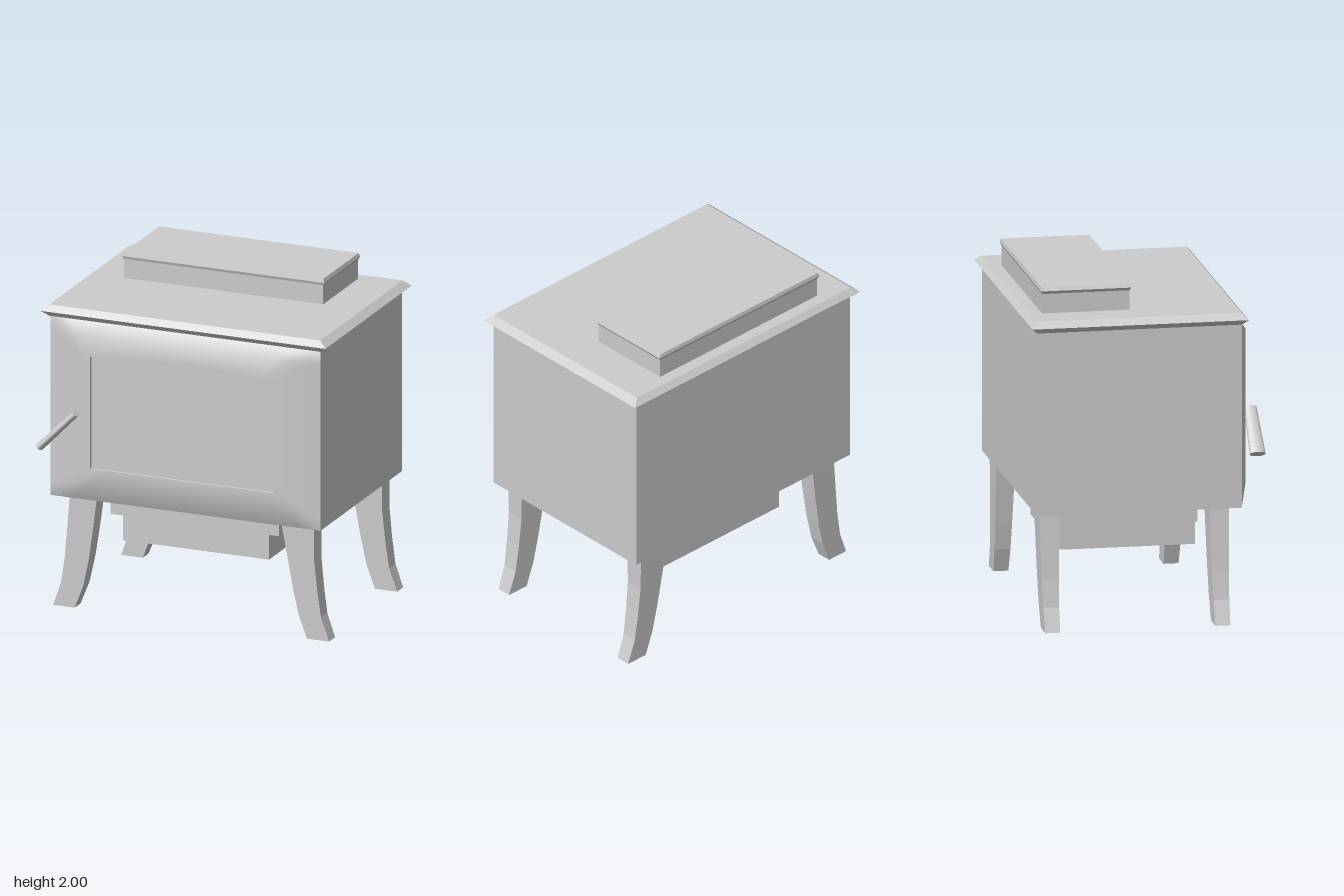
import * as THREE from 'three';

// Skins matching loops of points; optional fan caps at both ends.
function loft(loops, { caps = false, endCap = caps, smooth = false } = {}) {
  const n = loops[0].length;
  const index = [];
  for (let k = 0; k < loops.length - 1; k++) {
    for (let i = 0; i < n; i++) {
      const a = k * n + i, b = k * n + (i + 1) % n;
      index.push(a, b, b + n, a, b + n, a + n);
    }
  }
  const last = (loops.length - 1) * n;
  for (let i = 1; i < n - 1; i++) {
    if (endCap) index.push(last, last + i, last + i + 1);
    if (caps) index.push(0, i + 1, i);
  }
  let geo = new THREE.BufferGeometry();
  geo.setAttribute('position', new THREE.Float32BufferAttribute(loops.flat(2), 3));
  geo.setIndex(index);
  if (!smooth) geo = geo.toNonIndexed();
  geo.computeVertexNormals();
  return geo;
}

// Stacked rectangular sections, each [y, x0, x1, z0, z1].
const stack = (levels) => loft(levels.map(([y, x0, x1, z0, z1]) =>
  [[x0, y, z1], [x1, y, z1], [x1, y, z0], [x0, y, z0]]), { caps: true });

// Counter-clockwise outline in the front plane, with an optional arched top.
function frontLoop(x, y0, y1, z, arch = 0, steps = 14) {
  const corners = [[-x, y0], [x, y0], [x, y1], [-x, y1]];
  const pts = [];
  corners.forEach(([ax, ay], side) => {
    const [bx, by] = corners[(side + 1) % 4];
    for (let i = 0; i < steps; i++) {
      const t = i / steps;
      const rise = side === 2 ? arch * (1 - (2 * t - 1) ** 2) : 0;
      pts.push([ax + (bx - ax) * t, ay + (by - ay) * t + rise, z]);
    }
  });
  return pts;
}

export function createModel() {
  const group = new THREE.Group();
  const material = new THREE.MeshStandardMaterial({ color: 0xcccccc });
  const add = (name, geo) => {
    const mesh = new THREE.Mesh(geo, material);
    mesh.name = name;
    group.add(mesh);
    return mesh;
  };

  // Firebox and its flared top plate
  add('firebox', stack([[0.69, -0.848, 0.845, -0.65, 0.55], [1.78, -0.848, 0.845, -0.65, 0.55]]));
  add('topPlate', stack([
    [1.775, -0.85, 0.845, -0.65, 0.55],
    [1.81, -0.895, 0.89, -0.687, 0.583],
    [1.845, -0.85, 0.845, -0.655, 0.55],
  ]));

  // Raised box with a small lip
  add('upperBox', stack([
    [1.84, -0.65, 0.597, -0.585, -0.07],
    [1.96, -0.65, 0.597, -0.585, -0.07],
    [1.978, -0.662, 0.607, -0.592, -0.063],
    [2.0, -0.652, 0.599, -0.587, -0.068],
  ]));

  // Bulging door front with a recessed arched window
  const rim = frontLoop(0.575, 0.9, 1.58, 0.605, 0.03);
  const pane = frontLoop(0.575, 0.9, 1.58, 0.588, 0.03);
  add('doorFrame', loft([
    frontLoop(0.846, 0.69, 1.78, 0.55),
    frontLoop(0.68, 0.8, 1.71, 0.604),
    rim,
  ], { smooth: true }));
  add('windowRecess', loft([rim, pane], { endCap: true }));

  // Flattened, tapered door handle
  const from = new THREE.Vector3(-0.873, 1.01, 0.638);
  const to = new THREE.Vector3(-0.648, 1.237, 0.638);
  const handleGeo = new THREE.CylinderGeometry(0.037, 0.047, from.distanceTo(to), 20);
  handleGeo.scale(0.52, 1, 1);
  const handle = add('handle', handleGeo);
  handle.position.lerpVectors(from, to, 0.5);
  handle.quaternion.setFromUnitVectors(new THREE.Vector3(0, 1, 0), to.clone().sub(from).normalize());

  // Stepped ash box under the firebox
  add('ashBoxUpper', stack([[0.55, -0.56, 0.497, -0.445, 0.345], [0.69, -0.56, 0.497, -0.445, 0.345]]));
  add('ashBoxLower', stack([[0.4, -0.48, 0.435, -0.445, 0.345], [0.55, -0.48, 0.435, -0.445, 0.345]]));

  // Splayed legs: sections [y, x0, x1], thinning towards the foot
  const legs = {
    Right: [[0, -0.86, -0.725], [0.14, -0.81, -0.67], [0.3, -0.785, -0.635], [0.48, -0.768, -0.608], [0.69, -0.75, -0.58]],
    Left: [[0, 0.73, 0.87], [0.14, 0.68, 0.82], [0.3, 0.645, 0.798], [0.48, 0.613, 0.78], [0.69, 0.575, 0.78]],
  };
  for (const [side, sections] of Object.entries(legs)) {
    for (const [end, z] of [['front', 0.437], ['back', -0.562]]) {
      add(`${end}${side}Leg`, stack(sections.map(([y, x0, x1]) => {
        const half = 0.044 + 0.013 * y / 0.69;
        return [y, x0, x1, z - half, z + half];
      })));
    }
  }
  return group;
}
